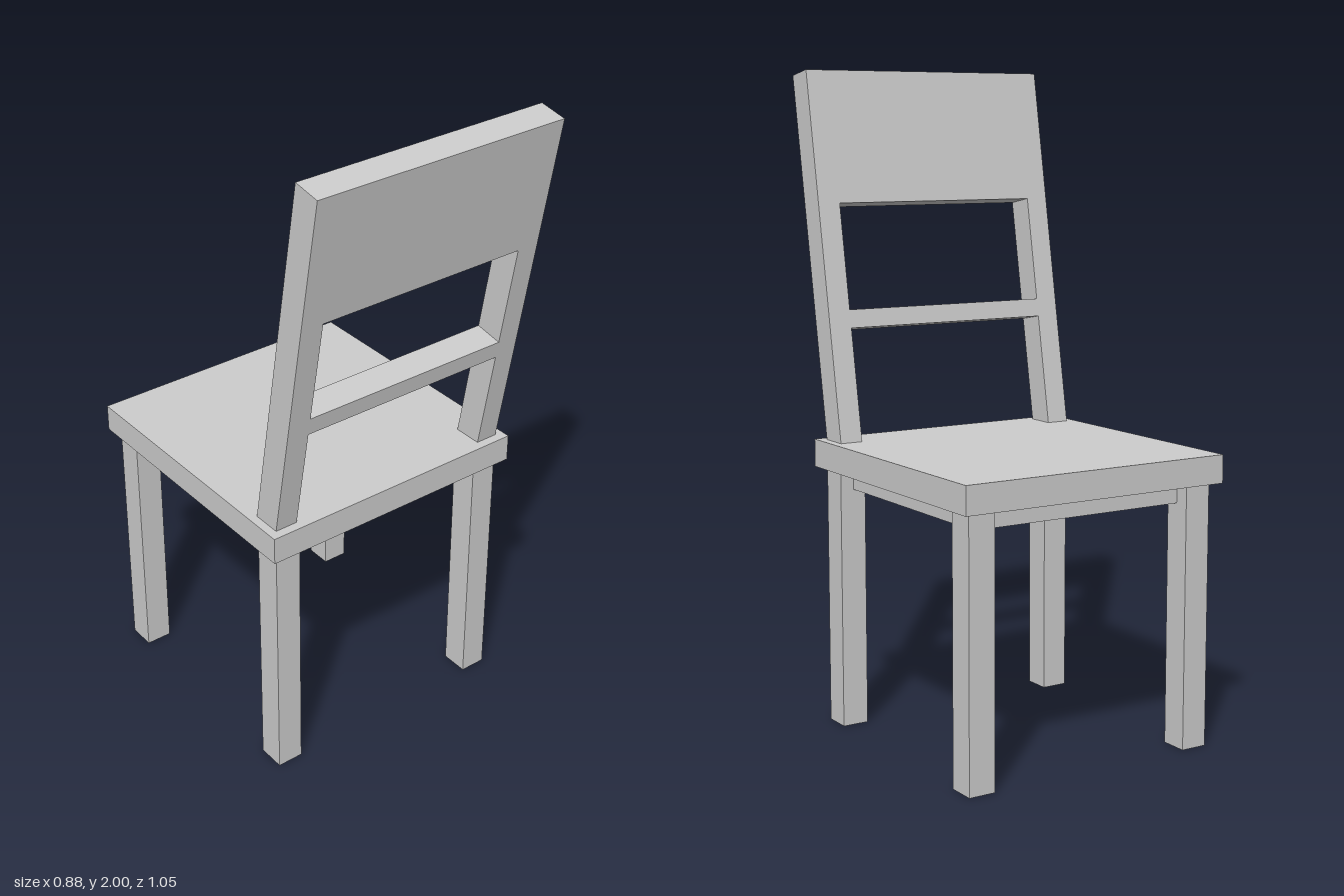
import * as THREE from 'three';

export function createModel() {
  const group = new THREE.Group();
  const material = new THREE.MeshStandardMaterial({ color: 0xcccccc, flatShading: true });

  // Box given by its extents along each axis
  function addBox(name, [x0, x1], [y0, y1], [z0, z1]) {
    const mesh = new THREE.Mesh(new THREE.BoxGeometry(x1 - x0, y1 - y0, z1 - z0), material);
    mesh.position.set((x0 + x1) / 2, (y0 + y1) / 2, (z0 + z1) / 2);
    mesh.name = name;
    group.add(mesh);
  }

  // Seat slab and the inset block beneath it
  addBox('seat', [-0.44, 0.44], [0.8, 0.885], [-0.525, 0.36]);
  addBox('apron', [-0.37, 0.37], [0.74, 0.8], [-0.45, 0.287]);

  // Four square legs
  for (const [side, x] of [['left', 0.33], ['right', -0.413]]) {
    addBox(side + 'FrontLeg', [x, x + 0.083], [0, 0.8], [0.243, 0.33]);
    addBox(side + 'BackLeg', [x, x + 0.083], [0, 0.8], [-0.495, -0.408]);
  }

  // Backrest: two posts, a wide top panel and a thin rail, cut from one leaning board
  const outer = 0.413, inner = 0.341, top = 1.163;
  const panelBottom = 0.757, railTop = 0.432, railBottom = 0.376, thickness = 0.091;
  const points = (list) => list.map(([x, y]) => new THREE.Vector2(x, y));
  const board = new THREE.Shape(points([
    [-outer, 0], [-inner, 0], [-inner, railBottom], [inner, railBottom],
    [inner, 0], [outer, 0], [outer, top], [-outer, top],
  ]));
  board.holes.push(new THREE.Path(points([
    [-inner, railTop], [-inner, panelBottom], [inner, panelBottom], [inner, railTop],
  ])));
  const boardGeometry = new THREE.ExtrudeGeometry(board, { depth: thickness, bevelEnabled: false });
  boardGeometry.translate(0, 0, -thickness);
  const backrest = new THREE.Mesh(boardGeometry, material);
  backrest.name = 'backrest';
  backrest.position.set(0, 0.84, 0.323);
  backrest.rotation.x = THREE.MathUtils.degToRad(10);
  group.add(backrest);

  return group;
}
